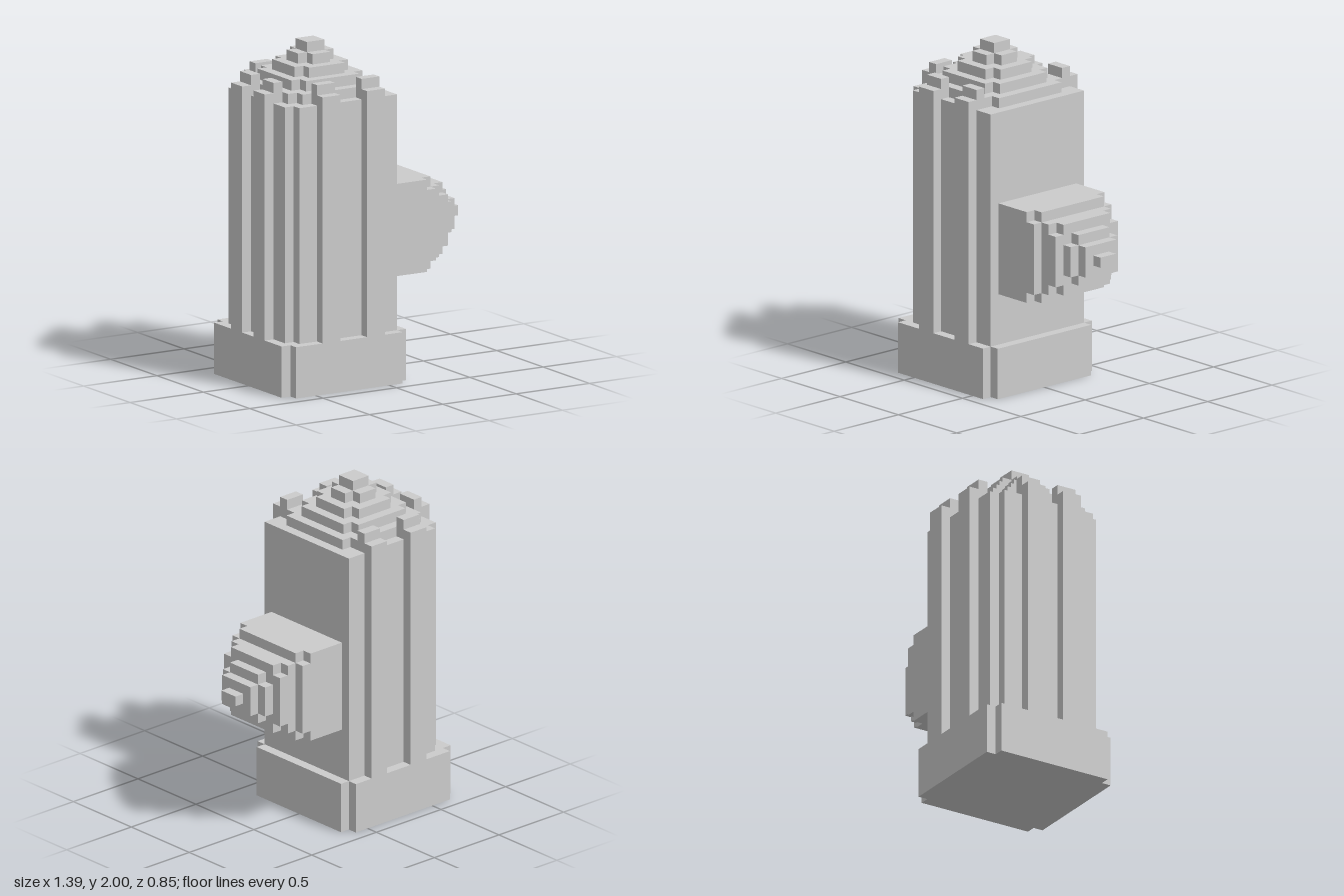
import * as THREE from 'three';

const U = 2 / 33; // size of one block
const material = new THREE.MeshStandardMaterial({ color: 0xcccccc, flatShading: true });

// Rectangle whose corners are notched: n at the low-a side, m at the high-a side
function notchedShape(a0, a1, b0, b1, n, m = n) {
  const pts = [];
  const corner = (...p) => p.forEach(([a, b]) => pts.push(new THREE.Vector2(a, b)));
  if (n) corner([a0, b0 + n], [a0 + n, b0 + n], [a0 + n, b0]); else corner([a0, b0]);
  if (m) corner([a1 - m, b0], [a1 - m, b0 + m], [a1, b0 + m]); else corner([a1, b0]);
  if (m) corner([a1, b1 - m], [a1 - m, b1 - m], [a1 - m, b1]); else corner([a1, b1]);
  if (n) corner([a0 + n, b1], [a0 + n, b1 - n], [a0, b1 - n]); else corner([a0, b1]);
  return new THREE.Shape(pts);
}

function extrude(shape, depth) {
  return new THREE.ExtrudeGeometry(shape, { depth, bevelEnabled: false });
}

export function createModel() {
  const model = new THREE.Group();
  model.name = 'hydrant';

  // All parts are laid out in blocks: x from 0 to 23, y from 0 to 33, z from -7 to 7
  function add(name, geometry, parent = model) {
    geometry.translate(-11.5, 0, 0).scale(U, U, U);
    const mesh = new THREE.Mesh(geometry, material);
    mesh.name = name;
    parent.add(mesh);
  }
  function block(name, x0, x1, y0, y1, z0, z1, parent) {
    const g = new THREE.BoxGeometry(x1 - x0, y1 - y0, z1 - z0);
    add(name, g.translate((x0 + x1) / 2, (y0 + y1) / 2, (z0 + z1) / 2), parent);
  }
  // Horizontal layer, symmetric in z
  function layer(name, x0, x1, halfZ, y0, y1, n, m, parent) {
    const g = extrude(notchedShape(x0, x1, -halfZ, halfZ, n, m), y1 - y0);
    add(name, g.rotateX(-Math.PI / 2).translate(0, y0, 0), parent);
  }
  // Upright slice across the nozzle
  function slice(name, x0, x1, halfZ, y0, y1, n, parent) {
    const g = extrude(notchedShape(-halfZ, halfZ, y0, y1, n), x1 - x0);
    add(name, g.rotateY(Math.PI / 2).translate(x0, 0, 0), parent);
  }

  // Base and main column
  layer('base', 0, 14, 7, 0, 5, 1, 1);
  layer('column', 1, 13, 6, 5, 28, 1, 0);

  // Ribs on front, back and the side opposite the nozzle, with raised blocks behind their tops
  const ribs = new THREE.Group();
  ribs.name = 'ribs';
  model.add(ribs);
  for (const s of [1, -1]) {
    for (const x of [4, 9]) {
      block('rib', x, x + 2, 5, 29, s * 6.5 - 0.5, s * 6.5 + 0.5, ribs);
      block('ribCap', x, x + 2, 28, 30, s * 5.5 - 0.5, s * 5.5 + 0.5, ribs);
    }
    block('sideRib', 0, 1, 5, 29, s * 2 - 1, s * 2 + 1, ribs);
    block('sideRibCap', 1, 2, 28, 30, s * 2 - 1, s * 2 + 1, ribs);
  }

  // Stepped dome with a square knob
  const dome = new THREE.Group();
  dome.name = 'dome';
  model.add(dome);
  for (let i = 0; i < 5; i++) {
    const half = 5 - i, notch = i < 4 ? 1 : 0;
    layer(i < 4 ? 'domeStep' : 'knob', 7 - half, 7 + half, half, 28 + i, 29 + i, notch, notch, dome);
  }

  // Side nozzle tapering in steps: x0, x1, half depth, bottom, top, notch
  const nozzle = new THREE.Group();
  nozzle.name = 'nozzle';
  model.add(nozzle);
  const steps = [
    [13, 17, 5, 10, 19, 0],
    [17, 18, 5, 10, 19, 1],
    [18, 19, 4, 11, 18, 0],
    [19, 20, 4, 11, 18, 1],
    [20, 21, 3, 12, 17, 1],
    [21, 22, 2, 13, 16, 0],
    [22, 23, 1, 14, 15, 0],
  ];
  for (const s of steps) slice('nozzleStep', ...s, nozzle);

  return model;
}
